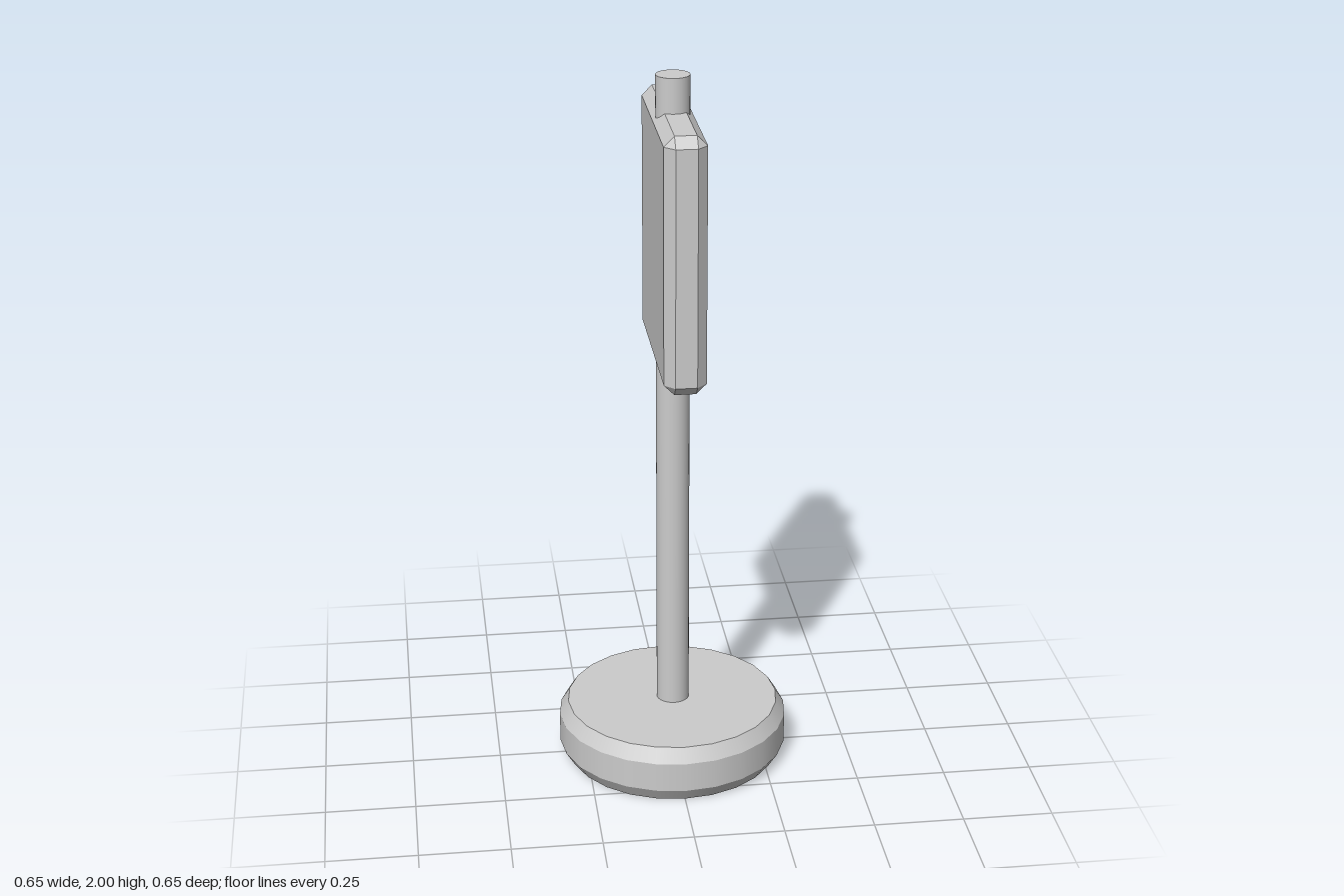
import * as THREE from 'three';
import { mergeGeometries } from 'three/addons/utils/BufferGeometryUtils.js';
import { ConvexGeometry } from 'three/addons/geometries/ConvexGeometry.js';

// Solid of revolution from [radius, y] rings, smooth around and creased at each ring
function bandedDisc(rings, sides) {
  const parts = [];
  for (let i = 0; i < rings.length - 1; i++) {
    const [r0, y0] = rings[i], [r1, y1] = rings[i + 1];
    parts.push(new THREE.CylinderGeometry(r1, r0, y1 - y0, sides, 1, true).translate(0, (y0 + y1) / 2, 0));
  }
  const [rb, yb] = rings[0], [rt, yt] = rings[rings.length - 1];
  parts.push(new THREE.CircleGeometry(rb, sides).rotateX(Math.PI / 2).translate(0, yb, 0));
  parts.push(new THREE.CircleGeometry(rt, sides).rotateX(-Math.PI / 2).translate(0, yt, 0));
  return mergeGeometries(parts);
}

// Box with a single 45 degree bevel on every edge
function bevelledBox(w, h, d, bevel) {
  const points = [];
  for (const sx of [-1, 1]) for (const sy of [-1, 1]) for (const sz of [-1, 1]) {
    for (let axis = 0; axis < 3; axis++) {
      const half = [w, h, d].map((s, i) => s / 2 - (i === axis ? 0 : bevel));
      points.push(new THREE.Vector3(sx * half[0], sy * half[1], sz * half[2]));
    }
  }
  return new ConvexGeometry(points);
}

export function createModel() {
  const group = new THREE.Group();
  const smooth = new THREE.MeshStandardMaterial({ color: 0xcccccc });
  const flat = new THREE.MeshStandardMaterial({ color: 0xcccccc, flatShading: true });
  const add = (name, geometry, material, x, y, z) => {
    const mesh = new THREE.Mesh(geometry, material);
    mesh.name = name;
    mesh.position.set(x, y, z);
    group.add(mesh);
  };

  // Round weighted foot with chamfered rims
  add('base', bandedDisc([[0.3, 0], [0.325, 0.04], [0.325, 0.125], [0.3, 0.165]], 24), smooth, 0, 0, 0);

  // Upright post, running through the sign panel
  add('pole', new THREE.CylinderGeometry(0.046, 0.046, 1.9, 32), smooth, 0.002, 1.05, -0.001);

  // Sign panel, its broad faces towards the sides
  add('signPanel', bevelledBox(0.114, 0.705, 0.555, 0.028), flat, 0.005, 1.5525, -0.0045);

  return group;
}
